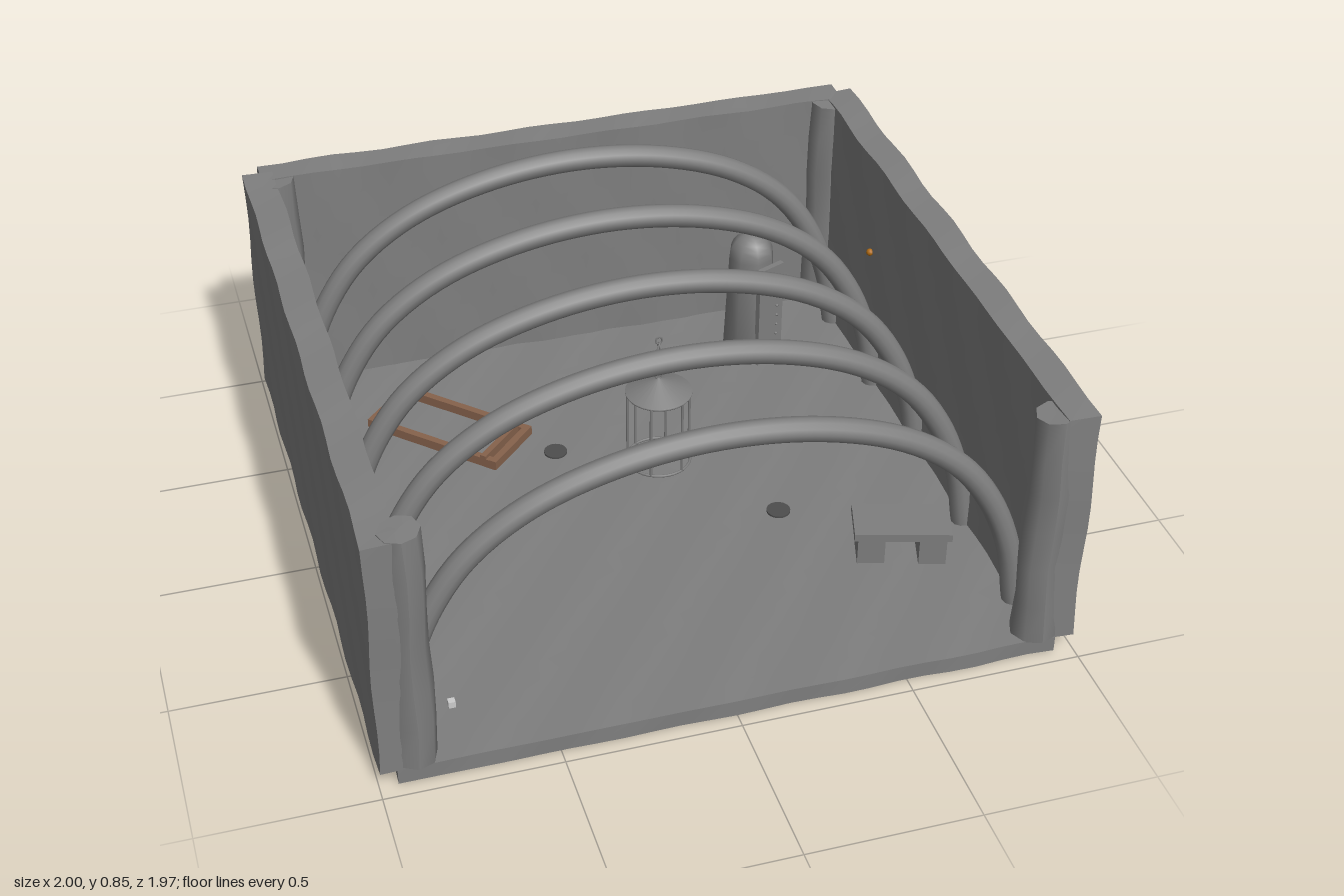
import * as THREE from 'three';

const stone = new THREE.MeshStandardMaterial({ color: 0x7e7e7e });
const wood = new THREE.MeshStandardMaterial({ color: 0x86624c });
const amber = new THREE.MeshStandardMaterial({ color: 0xb06a10 });
const white = new THREE.MeshStandardMaterial({ color: 0xffffff });
const dark = new THREE.MeshStandardMaterial({ color: 0x4e4e4e });

function add(parent, name, geometry, x, y, z, material = stone) {
  const mesh = new THREE.Mesh(geometry, material);
  mesh.name = name;
  mesh.position.set(x, y, z);
  parent.add(mesh);
  return mesh;
}

function group(parent, name, x, y, z, turn = 0) {
  const g = new THREE.Group();
  g.name = name;
  g.position.set(x, y, z);
  g.rotation.y = turn;
  parent.add(g);
  return g;
}

// Slight hand-hewn waviness, depending only on vertex position
function roughen(geometry, amount, seed) {
  const p = geometry.attributes.position;
  for (let i = 0; i < p.count; i++) {
    const x = p.getX(i), y = p.getY(i), z = p.getZ(i);
    p.setXYZ(i,
      x + amount * Math.sin(14 * y + 17 * z + seed),
      y + amount * Math.sin(19 * x + 15 * z + seed * 2),
      z + amount * Math.sin(18 * x + 12 * y + seed * 3));
  }
  geometry.computeVertexNormals();
  return geometry;
}

function roughBox(w, h, d, seed) {
  const n = (s) => Math.max(1, Math.round(s / 0.08));
  return roughen(new THREE.BoxGeometry(w, h, d, n(w), n(h), n(d)), 0.003, seed);
}

const box = (w, h, d) => new THREE.BoxGeometry(w, h, d);

export function createModel() {
  const model = new THREE.Group();
  model.name = 'room';

  // Floor and three walls, open to the front
  add(model, 'floor', roughBox(1.89, 0.05, 1.895, 1), 0, 0.031, 0.01);
  add(model, 'backWall', roughBox(1.89, 0.76, 0.092, 2), 0, 0.436, -0.941);
  for (const s of [-1, 1]) {
    add(model, s < 0 ? 'rightWall' : 'leftWall', roughBox(0.094, 0.76, 1.895, 3 + s), s * 0.949, 0.436, 0.01);
    // Corner posts
    const front = new THREE.CylinderGeometry(0.058, 0.066, 0.756, 8, 6);
    add(model, 'frontPost', roughen(front, 0.004, 5 + s), s * 0.892, 0.436, 0.908);
    const back = new THREE.CylinderGeometry(0.058, 0.066, 0.756, 8, 6);
    add(model, 'backPost', roughen(back, 0.004, 7 + s), s * 0.9, 0.436, -0.89);
  }

  // Five arched ribs
  const half = [[0.9, 0.05], [0.865, 0.25], [0.795, 0.43], [0.69, 0.577], [0.52, 0.7], [0.28, 0.784]];
  const points = [
    ...half.map(([x, y]) => new THREE.Vector3(-x, y, 0)),
    new THREE.Vector3(0, 0.815, 0),
    ...half.map(([x, y]) => new THREE.Vector3(x, y, 0)).reverse(),
  ];
  const ribGeometry = new THREE.TubeGeometry(new THREE.CatmullRomCurve3(points), 64, 0.035, 12);
  for (let i = 0; i < 5; i++) add(model, 'rib', ribGeometry, 0, 0, -0.749 + i * 0.378);

  // Hanging cage lantern
  const lantern = group(model, 'lantern', 0, -0.006, 0.196);
  add(lantern, 'lanternRoof', new THREE.ConeGeometry(0.097, 0.045, 24), 0, 0.608, 0);
  for (const y of [0.348, 0.583]) {
    add(lantern, 'lanternRing', new THREE.TorusGeometry(0.093, 0.004, 6, 32), 0, y, 0).rotation.x = Math.PI / 2;
  }
  for (let i = 0; i < 6; i++) {
    const a = (i * Math.PI) / 3;
    add(lantern, 'lanternBar', new THREE.CylinderGeometry(0.004, 0.004, 0.235, 6),
      0.093 * Math.cos(a), 0.466, 0.093 * Math.sin(a));
  }
  for (let i = 0; i < 7; i++) {
    const link = add(lantern, 'chainLink', new THREE.TorusGeometry(0.009, 0.0025, 5, 10), 0, 0.638 + i * 0.02, 0);
    link.scale.y = 1.3;
    link.rotation.y = (i % 2) * Math.PI / 2;
  }

  // Low open bed frame, set diagonally
  const bed = group(model, 'bedFrame', -0.485, 0, -0.465, -Math.PI / 4);
  for (const s of [-1, 1]) {
    add(bed, 'sideRail', box(0.465, 0.03, 0.022), 0, 0.087, s * 0.097, wood);
    add(bed, 'endRail', box(0.022, 0.03, 0.216), s * 0.225, 0.088, 0, wood);
  }
  add(bed, 'headRail', box(0.02, 0.03, 0.216), 0.19, 0.097, 0, wood);

  // Domed tank with a riveted panel in front
  const tank = group(model, 'tank', 0.567, 0, -0.65);
  const profile = [new THREE.Vector2(0, 0.058), new THREE.Vector2(0.09, 0.058), new THREE.Vector2(0.074, 0.43)];
  for (let i = 1; i <= 6; i++) {
    const a = (i * Math.PI) / 12;
    profile.push(new THREE.Vector2(0.074 * Math.cos(a), 0.43 + 0.08 * Math.sin(a)));
  }
  add(tank, 'tankBody', new THREE.LatheGeometry(profile, 8), 0, 0, 0);
  const panel = group(model, 'panel', 0.61, 0, -0.58, 0.4);
  add(panel, 'panelPlate', box(0.1, 0.36, 0.018), 0, 0.238, 0);
  for (let i = 0; i < 8; i++) {
    add(panel, 'rivet', new THREE.SphereGeometry(0.005, 8, 6), 0.025, 0.12 + i * 0.036, 0.01);
  }

  // Low desk with two pedestals
  const desk = group(model, 'desk', 0.662, 0, 0.475, -0.29);
  add(desk, 'deskTop', box(0.285, 0.025, 0.148), 0, 0.162, 0);
  for (const s of [-1, 1]) add(desk, 'pedestal', box(0.08, 0.1, 0.12), s * 0.09, 0.105, 0);
  add(desk, 'backPanel', box(0.25, 0.1, 0.012), 0, 0.105, -0.06);

  // Flat round floor plates
  for (const [x, z] of [[-0.19, -0.28], [0.38, 0.196]]) {
    add(model, 'floorDisc', new THREE.CylinderGeometry(0.036, 0.036, 0.006, 24), x, 0.061, z, dark);
  }

  // Wall lamps and small amber lights
  for (const z of [-0.185, 0.196]) {
    add(model, 'wallLamp', new THREE.SphereGeometry(0.02, 8, 6), -0.885, 0.5, z);
    add(model, 'lampBracket', new THREE.CylinderGeometry(0.008, 0.008, 0.07, 8), -0.885, 0.47, z);
  }
  for (const [x, z] of [[-0.885, 0.42], [-0.885, -0.4], [0.895, -0.45]]) {
    add(model, 'amberLight', new THREE.SphereGeometry(0.012, 8, 6), x, 0.5, z, amber);
  }

  // Pebbles on the floor
  for (const [x, z] of [[-0.805, 0.71], [-0.757, 0.76]]) {
    add(model, 'pebble', box(0.02, 0.02, 0.02), x, 0.071, z, white);
  }

  return model;
}
